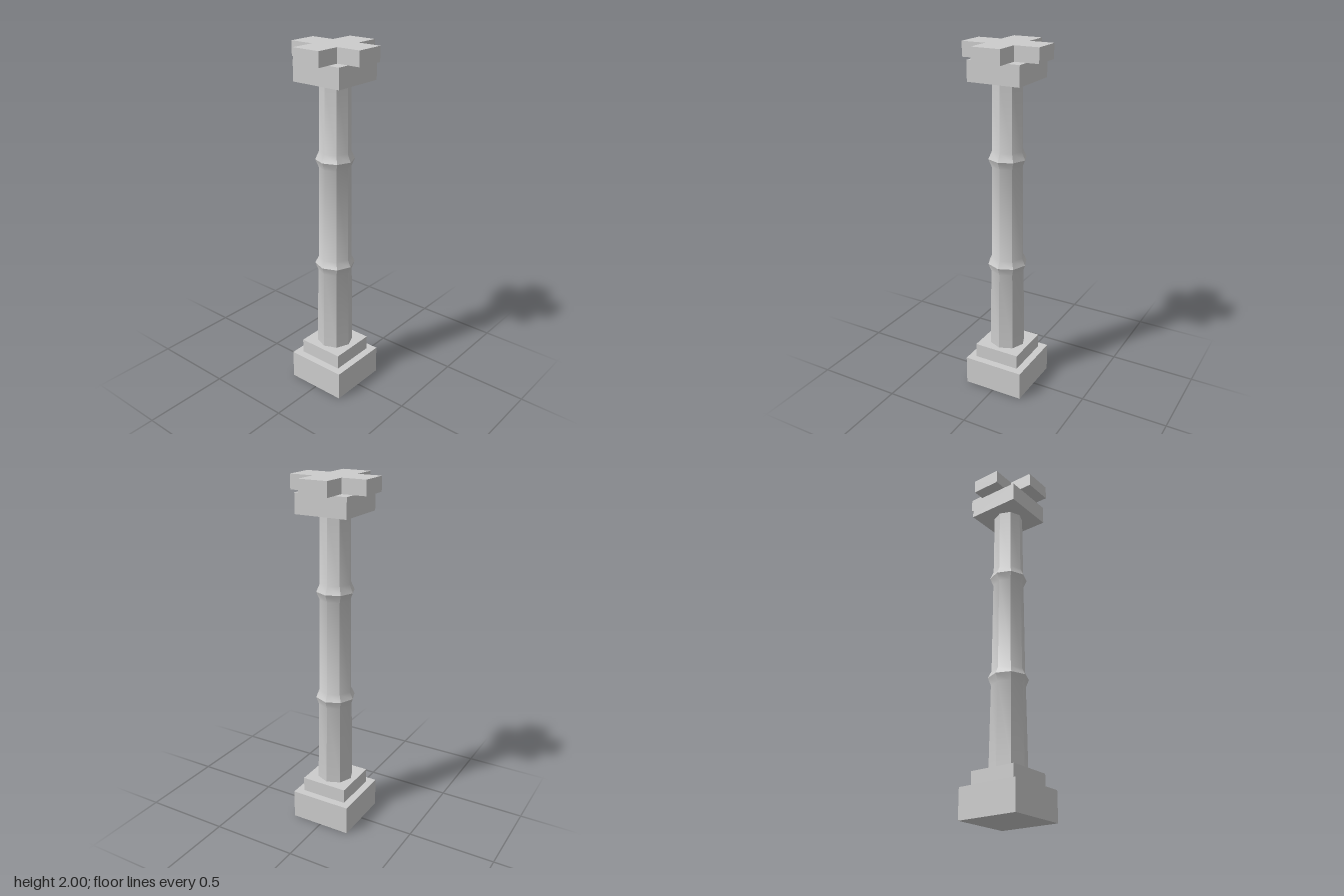
import * as THREE from 'three';
import { toCreasedNormals } from 'three/addons/utils/BufferGeometryUtils.js';

export function createModel() {
  const column = new THREE.Group();
  column.name = 'column';
  const stone = new THREE.MeshStandardMaterial({ color: 0xcccccc });
  stone.name = 'stone grey';

  function add(name, geometry) {
    const mesh = new THREE.Mesh(geometry, stone);
    mesh.name = name;
    column.add(mesh);
    return mesh;
  }

  // Square slab between two heights
  function slab(name, half, y0, y1) {
    add(name, new THREE.BoxGeometry(half * 2, y1 - y0, half * 2)).position.y = (y0 + y1) / 2;
  }

  slab('plinth', 0.179, 0, 0.168);
  slab('baseStep', 0.136, 0.168, 0.252);
  slab('capital', 0.152, 1.81, 1.92);

  // Tapered octagonal shaft with two raised rings, corners on the axes
  const profile = [
    [0.104, 0.252], [0.096, 0.725], [0.113, 0.77], [0.093, 0.81],
    [0.088, 1.345], [0.107, 1.39], [0.087, 1.435], [0.084, 1.81],
  ].map(([r, y]) => new THREE.Vector2(r, y));
  add('shaft', toCreasedNormals(new THREE.LatheGeometry(profile, 8), THREE.MathUtils.degToRad(40)));

  // Cross-shaped top slab
  const a = 0.083, b = 0.222;
  const cross = new THREE.Shape([
    [a, -b], [a, -a], [b, -a], [b, a], [a, a], [a, b],
    [-a, b], [-a, a], [-b, a], [-b, -a], [-a, -a], [-a, -b],
  ].map(([x, y]) => new THREE.Vector2(x, y)));
  const top = new THREE.ExtrudeGeometry(cross, { depth: 0.08, bevelEnabled: false });
  top.rotateX(-Math.PI / 2);
  add('crossTop', top).position.y = 1.92;

  return column;
}
